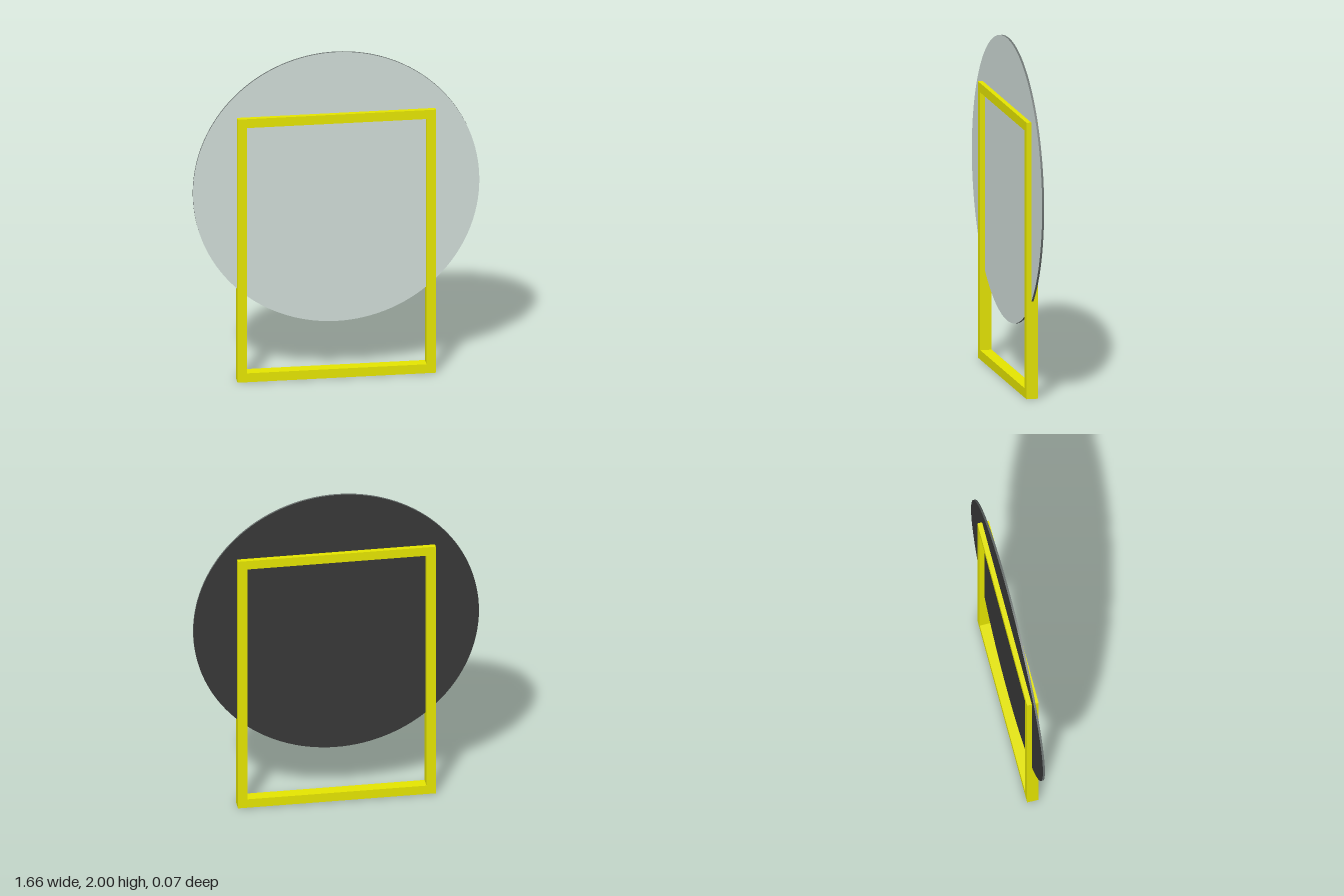
import * as THREE from 'three';

export function createModel() {
  const model = new THREE.Group();
  const material = (color) => new THREE.MeshStandardMaterial({ color });

  // Rectangular frame, standing on the ground
  const W = 0.575, H = 1.625, BAR = 0.055, DEPTH = 0.068;
  const rect = (Type, x, y0, y1) => new Type([
    new THREE.Vector2(-x, y0), new THREE.Vector2(x, y0),
    new THREE.Vector2(x, y1), new THREE.Vector2(-x, y1),
  ]);
  const outline = rect(THREE.Shape, W, 0, H);
  outline.holes.push(rect(THREE.Path, W - BAR, BAR, H - BAR));
  const frameGeometry = new THREE.ExtrudeGeometry(outline, { depth: DEPTH, bevelEnabled: false });
  frameGeometry.translate(0, 0, -DEPTH / 2);
  const frame = new THREE.Mesh(frameGeometry, material(0xe6e600));
  frame.name = 'frame';
  model.add(frame);

  // Round mirror set through the frame: pale front, dark rim and back
  const R = 0.83, THICK = 0.012;
  const discGeometry = new THREE.CylinderGeometry(R, R, THICK, 128);
  discGeometry.rotateX(Math.PI / 2);
  const disc = new THREE.Mesh(discGeometry, [
    material(0x6b7270), // rim
    material(0xd0dcd8), // front
    material(0x383838), // back
  ]);
  disc.name = 'roundMirror';
  disc.position.y = 2 - R;
  model.add(disc);

  return model;
}
